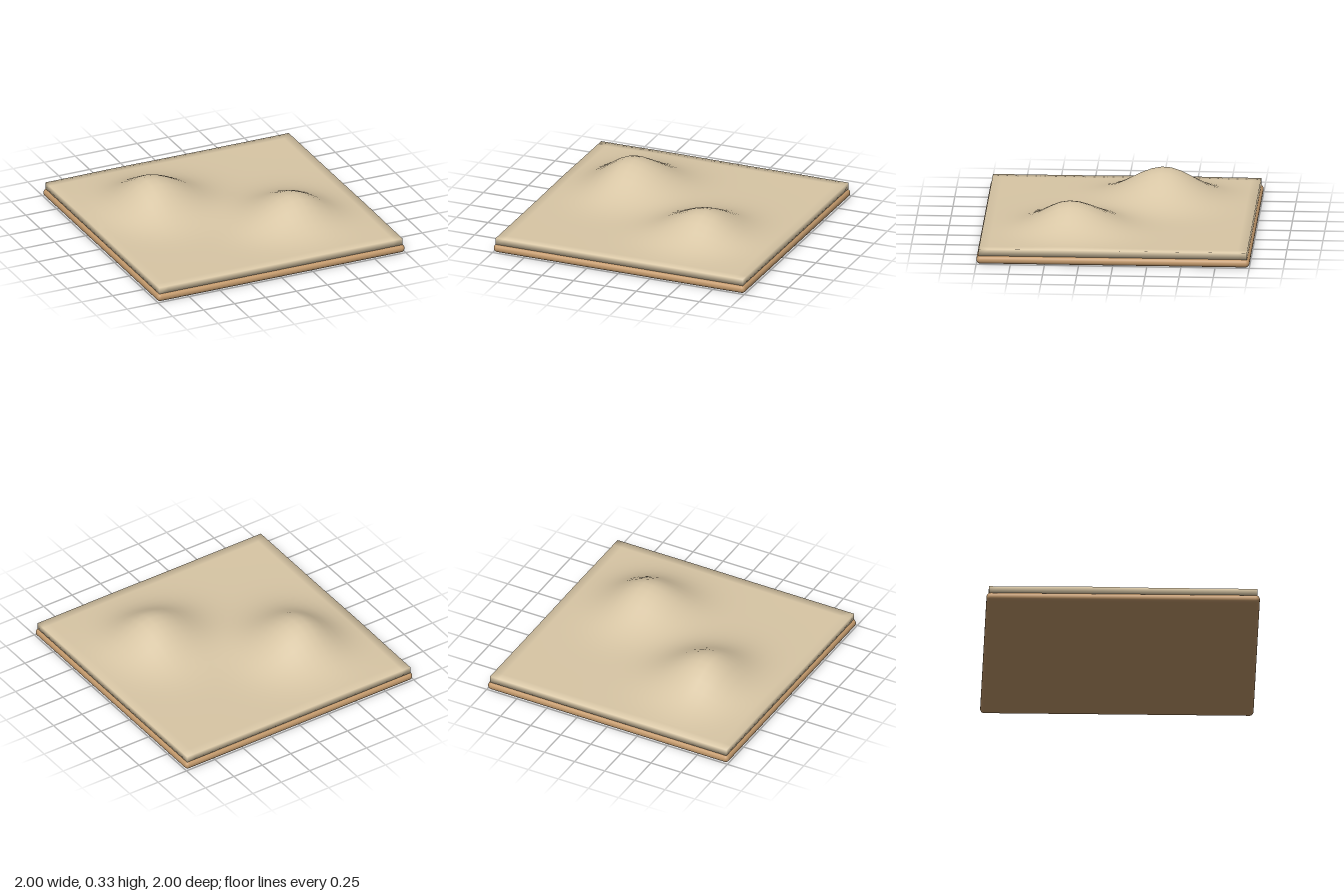
import * as THREE from 'three';
import { mergeVertices } from 'three/addons/utils/BufferGeometryUtils.js';
import { RoundedBoxGeometry } from 'three/addons/geometries/RoundedBoxGeometry.js';

const SAND_BOTTOM = 0.06;
const SAND_TOP = 0.11;

// Each dune is a bell whose width differs on its four sides
const DUNES = [
  { x: -0.45, z: -0.3, height: 0.225, left: 0.19, right: 0.25, back: 0.23, front: 0.25 },
  { x: 0.4, z: 0.35, height: 0.2, left: 0.24, right: 0.2, back: 0.25, front: 0.2 },
];

function duneHeight(x, z) {
  let sum = 0;
  for (const d of DUNES) {
    const u = (x - d.x) / (x < d.x ? d.left : d.right);
    const v = (z - d.z) / (z < d.z ? d.back : d.front);
    sum += d.height * Math.exp(-(u * u + v * v) / 2);
  }
  return sum;
}

// Slab of sand with the dunes raised from its top, smooth over the edges
function sandGeometry() {
  const thickness = SAND_TOP - SAND_BOTTOM;
  let geometry = new THREE.BoxGeometry(1.965, thickness, 1.965, 28, 1, 28);
  geometry.translate(0, SAND_BOTTOM + thickness / 2, 0);
  geometry.deleteAttribute('normal');
  geometry.deleteAttribute('uv');
  geometry = mergeVertices(geometry);
  const p = geometry.attributes.position;
  for (let i = 0; i < p.count; i++) {
    if (p.getY(i) > SAND_TOP - 0.01) {
      p.setY(i, SAND_TOP + duneHeight(p.getX(i), p.getZ(i)));
    }
  }
  geometry.computeVertexNormals();
  return geometry;
}

export function createModel() {
  const wood = new THREE.MeshStandardMaterial({ color: 0xc49a6c });
  wood.name = 'wood';
  const sand = new THREE.MeshStandardMaterial({ color: 0xd8c6a5 });
  sand.name = 'sand';

  const model = new THREE.Group();
  model.name = 'duneTile';

  // Wooden board with rounded rim
  const base = new THREE.Mesh(new RoundedBoxGeometry(2, 0.06, 2, 4, 0.029), wood);
  base.name = 'baseBoard';
  base.position.y = 0.03;
  model.add(base);

  // Sand with two dunes
  const terrain = new THREE.Mesh(sandGeometry(), sand);
  terrain.name = 'sandTerrain';
  model.add(terrain);

  return model;
}
